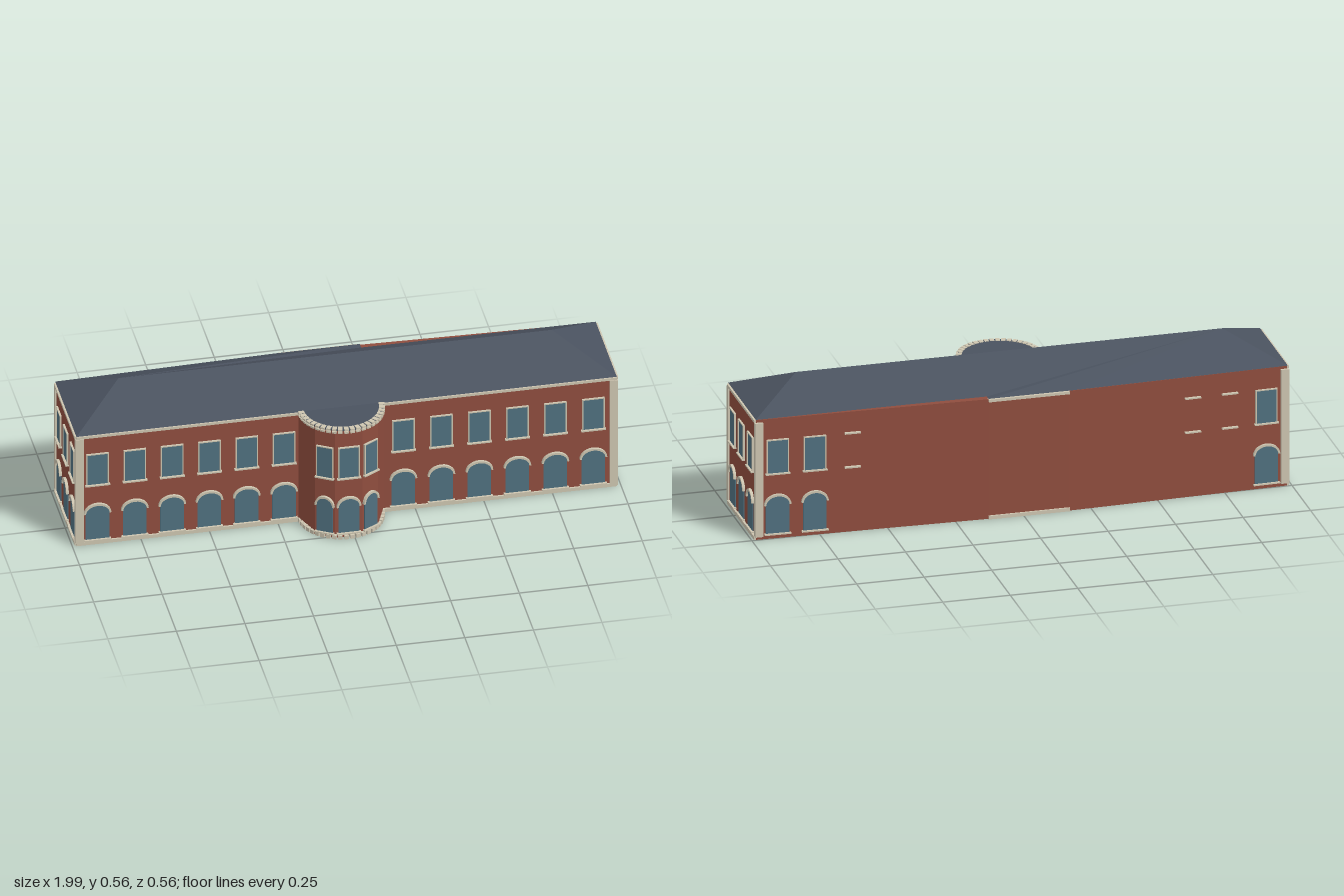
import * as THREE from 'three';

const paint = (color) => new THREE.MeshStandardMaterial({ color, flatShading: true, side: THREE.DoubleSide });

export function createModel() {
  const brick = paint(0x8f4d3e), glass = paint(0x50707f), slate = paint(0x4a525f), stone = paint(0xcdc5b0);
  const model = new THREE.Group();

  const add = (parent, name, geometry, material) => {
    const mesh = new THREE.Mesh(geometry, material);
    mesh.name = name;
    parent.add(mesh);
    return mesh;
  };
  // Box given by its limits on each axis
  const box = (parent, name, x0, x1, y0, y1, z0, z1, material) => add(parent, name,
    new THREE.BoxGeometry(x1 - x0, y1 - y0, z1 - z0)
      .translate((x0 + x1) / 2, (y0 + y1) / 2, (z0 + z1) / 2), material);
  // Plan outline of [x, z] points raised from y0 to y1
  const raise = (name, points, y0, y1, material) => {
    const shape = new THREE.Shape(points.map(([x, z]) => new THREE.Vector2(x, -z)));
    const geometry = new THREE.ExtrudeGeometry(shape, { depth: y1 - y0, bevelEnabled: false });
    return add(model, name, geometry.rotateX(-Math.PI / 2).translate(0, y0, 0), material);
  };
  const extrude = (shape, depth) => new THREE.ExtrudeGeometry(shape, { depth, bevelEnabled: false, curveSegments: 6 });

  // Main walls, with the long back wall bent slightly outwards
  raise('mainWalls', [[-0.983, 0.12], [0.983, 0.12], [0.983, -0.246], [0.13, -0.272], [-0.17, -0.272], [-0.983, -0.246]],
    0, 0.46, brick);

  // Faceted front bay
  const bayX = -0.02, frontZ = 0.12;
  const bayPlan = [[-0.155, -0.02], [-0.155, 0], [-0.115, 0.1], [-0.05, 0.138],
    [0.05, 0.138], [0.115, 0.1], [0.155, 0], [0.155, -0.02]];
  raise('bayWalls', bayPlan.map(([x, z]) => [x + bayX, z + frontZ]), 0, 0.455, brick);
  const disc = Array.from({ length: 19 }, (_, i) => {
    const a = Math.PI * i / 18;
    return [bayX + 0.153 * Math.cos(a), frontZ + 0.153 * Math.sin(a)];
  });
  raise('bayRoof', disc, 0.456, 0.463, slate);

  // Toothed stone bands round the bay
  const teeth = 22;
  const toothedBand = (name, y0, y1) => {
    const band = new THREE.Group();
    band.name = name;
    for (let i = 0; i < teeth; i++) {
      const tooth = box(band, 'tooth', -0.008, 0.008, y0, y1, 0.136, 0.157, stone);
      tooth.rotation.y = ((i + 0.5) / teeth - 0.5) * Math.PI;
    }
    band.position.set(bayX, 0, frontZ);
    model.add(band);
  };
  toothedBand('bayBase', 0, 0.015);
  toothedBand('bayCorniceLower', 0.447, 0.454);
  toothedBand('bayCorniceUpper', 0.458, 0.465);

  // Hipped roof with a stepped back eave
  const eave = 0.462, top = 0.56, ridgeZ = -0.077;
  const P = {
    fl: [-0.985, eave, 0.125], fr: [0.985, eave, 0.125], br: [0.985, eave, -0.248], jr: [0.13, eave, -0.25],
    jl: [0.13, eave, -0.274], ml: [-0.17, eave, -0.274], bl: [-0.985, eave, -0.25],
    rl: [-0.79, top, ridgeZ], rr: [0.79, top, ridgeZ],
  };
  const faces = ['fl fr rr', 'fl rr rl', 'fr br rr', 'bl fl rl', 'br jr rr', 'jr rl rr',
    'jr jl rl', 'jl ml rl', 'ml bl rl'];
  const roofGeometry = new THREE.BufferGeometry();
  roofGeometry.setAttribute('position', new THREE.Float32BufferAttribute(
    faces.flatMap((f) => f.split(' ').flatMap((k) => P[k])), 3));
  roofGeometry.computeVertexNormals();
  add(model, 'roof', roofGeometry, slate);

  // Base courses and cornices of the main walls
  for (const [name, y0, y1] of [['base', 0, 0.013], ['cornice', 0.45, 0.46]]) {
    box(model, name + 'FrontRight', -0.985, bayX - 0.15, y0, y1, 0.11, 0.127, stone);
    box(model, name + 'FrontLeft', bayX + 0.15, 0.985, y0, y1, 0.11, 0.127, stone);
    box(model, name + 'Back', -0.17, 0.13, y0, y1, -0.279, -0.262, stone);
    for (const s of [-1, 1]) {
      const end = box(model, name + 'End', -0.006, 0.006, y0, y1, -0.245, 0.12, stone);
      end.position.x = s * 0.985;
    }
  }

  // Corner pilasters
  for (const s of [-1, 1]) {
    for (const [z0, z1] of [[0.11, 0.13], [-0.256, -0.238]]) {
      const pilaster = box(model, 'cornerPilaster', -0.015, 0.015, 0.012, 0.45, z0, z1, stone);
      pilaster.position.x = s * 0.974;
    }
  }

  // Rectangular upper window with frame and sill, facing +z
  const upperWindow = (group, w) => {
    const h = w / 2, y0 = 0.25, y1 = 0.377, t = 0.004;
    box(group, 'upperGlass', -h, h, y0, y1, -0.004, 0.004, glass);
    for (const s of [-1, 1]) {
      box(group, 'upperJamb', s * h - t / 2, s * h + t / 2, y0, y1, -0.004, 0.007, stone);
    }
    box(group, 'upperLintel', -h - t / 2, h + t / 2, y1, y1 + t, -0.004, 0.007, stone);
    sill(group, w, 0.247);
  };
  const sill = (group, w, y) => box(group, 'sill', -w / 2 - 0.006, w / 2 + 0.006, y, y + 0.005, -0.004, 0.012, stone);

  // Arched lower window with a stone hood, facing +z
  const archWindow = (group, w) => {
    const h = w / 2, spring = 0.13, rise = 0.033;
    const pane = new THREE.Shape();
    pane.moveTo(-h, 0.02);
    pane.lineTo(h, 0.02);
    pane.lineTo(h, spring);
    pane.absellipse(0, spring, h, rise, 0, Math.PI, false);
    add(group, 'archGlass', extrude(pane, 0.008).translate(0, 0, -0.004), glass);
    const hood = new THREE.Shape();
    hood.absellipse(0, spring, h + 0.007, rise + 0.008, 0, Math.PI, false);
    hood.absellipse(0, spring, h, rise, Math.PI, 0, true);
    add(group, 'archHood', extrude(hood, 0.014).translate(0, 0, -0.004), stone);
    sill(group, w, 0.016);
  };

  // Place one bay of windows on a wall; buried ones show only their sills
  const place = (name, x, z, turn, wUpper, wLower, buried = false) => {
    const group = new THREE.Group();
    group.name = name;
    if (buried) {
      sill(group, wUpper * 0.6, 0.247);
      sill(group, wUpper * 0.6, 0.378);
    } else {
      upperWindow(group, wUpper);
      archWindow(group, wLower);
    }
    group.position.set(x, 0, z);
    group.rotation.y = turn;
    model.add(group);
  };

  // Front row
  for (let i = 0; i < 6; i++) {
    place('frontWindows', -0.908 + i * 0.136, frontZ, 0, 0.078, 0.086);
    place('frontWindows', 0.207 + i * 0.1385, frontZ, 0, 0.078, 0.086);
  }
  // Bay windows
  place('bayWindowCentre', bayX, frontZ + 0.138, 0, 0.075, 0.076);
  for (const s of [-1, 1]) {
    place('bayWindowSide', bayX + s * 0.0825, frontZ + 0.119, s * 0.53, 0.06, 0.06);
  }
  // End walls
  for (const s of [-1, 1]) {
    for (const z of [0.06, -0.058, -0.18]) place('endWindows', s * 0.983, z, s * Math.PI / 2, 0.067, 0.066);
  }
  // Back wall, following its bend
  const backRow = [[0.905, false], [0.768, false], [0.63, true], [-0.905, false], [-0.768, true], [-0.63, true]];
  for (const [x, buried] of backRow) {
    const z = -0.246 - 0.031 * (0.983 - Math.abs(x));
    place('backWindows', x, z, Math.PI - Math.sign(x) * 0.031, 0.078, 0.086, buried);
  }
  return model;
}
